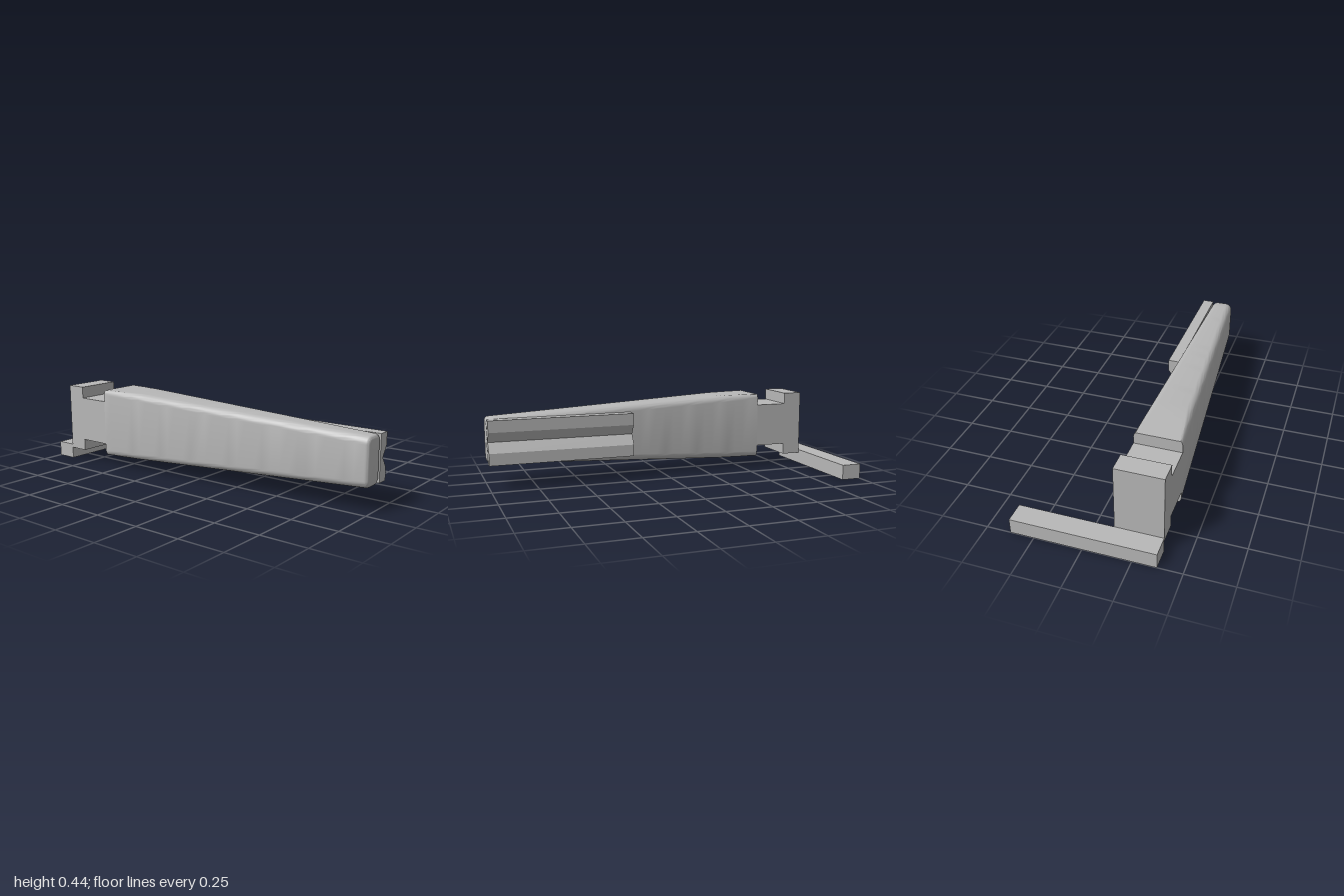
import * as THREE from 'three';
import { toCreasedNormals } from 'three/addons/utils/BufferGeometryUtils.js';

const CENTER_Y = 0.2515, HALF_H = 0.1875, BACK_Z = 0.125;
const CORNER = 0.038, END = 0.02, ARC = 8;

// One rounded-rectangle section of the handle, trimmed flat at top and bottom
function section(x, inset) {
  const t = (x + 0.6) / 1.58;
  const halfH = THREE.MathUtils.lerp(0.199, 0.126, t) - inset;
  const depth = THREE.MathUtils.lerp(0.249, 0.125, t);
  const halfD = depth / 2 - inset, r = CORNER - inset;
  const ring = [];
  for (let q = 0; q < 4; q++) {
    const sy = q === 0 || q === 3 ? 1 : -1, sz = q < 2 ? 1 : -1;
    for (let k = 0; k <= ARC; k++) {
      const a = (q + k / ARC) * Math.PI / 2;
      const y = sy * (halfH - r) + r * Math.cos(a);
      const z = sz * (halfD - r) + r * Math.sin(a);
      ring.push([x, CENTER_Y + THREE.MathUtils.clamp(y, -HALF_H, HALF_H), BACK_Z + depth / 2 + z]);
    }
  }
  return ring;
}

// Tapered handle skinned over its sections, with a rounded tip
function handleGeometry() {
  const rings = [];
  for (let i = 0; i <= 32; i++) rings.push(section(-0.6 + 1.58 * i / 32, 0));
  for (let i = 1; i <= 5; i++) {
    const a = i / 5 * Math.PI / 2;
    const ring = section(0.98, END * (1 - Math.cos(a)));
    ring.forEach(p => { p[0] += END * Math.sin(a); });
    rings.push(ring);
  }
  const n = rings[0].length, last = rings.length - 1;
  const positions = rings.flat(2), index = [];
  for (let i = 0; i < last; i++) {
    for (let j = 0; j < n; j++) {
      const k = (j + 1) % n, a = i * n, b = a + n;
      index.push(a + j, a + k, b + j, a + k, b + k, b + j);
    }
  }
  // End caps
  const c = rings.length * n;
  positions.push(-0.6, CENTER_Y, 0.25, 1, CENTER_Y, 0.1875);
  for (let j = 0; j < n; j++) {
    const k = (j + 1) % n;
    index.push(c, k, j, c + 1, last * n + j, last * n + k);
  }
  const g = new THREE.BufferGeometry();
  g.setAttribute('position', new THREE.Float32BufferAttribute(positions, 3));
  g.setIndex(index);
  return toCreasedNormals(g, 0.6);
}

// V-grooved rail profile, run along x
function railGeometry() {
  const profile = [[0.125, 0.13], [0.063, 0.13], [0.063, 0.195], [0.099, 0.251], [0.063, 0.307], [0.063, 0.372], [0.125, 0.372]];
  const shape = new THREE.Shape(profile.map(([z, y]) => new THREE.Vector2(-z, y)));
  return new THREE.ExtrudeGeometry(shape, { depth: 0.8, bevelEnabled: false })
    .rotateY(Math.PI / 2).translate(0.2, 0, 0);
}

// Box given by its limits on each axis
function block(x0, x1, y0, y1, z0, z1) {
  return new THREE.BoxGeometry(x1 - x0, y1 - y0, z1 - z0)
    .translate((x0 + x1) / 2, (y0 + y1) / 2, (z0 + z1) / 2);
}

export function createModel() {
  const group = new THREE.Group();
  group.name = 'latchHandle';
  const grey = new THREE.MeshStandardMaterial({ color: 0xb8b8b8 });
  grey.name = 'plainGrey';
  const parts = {
    handle: handleGeometry(),
    groovedRail: railGeometry(),
    neck: block(-0.78, -0.6, 0.128, 0.375, 0.125, 0.374),
    head: block(-0.888, -0.78, 0.064, 0.439, 0.125, 0.374),
    footBar: block(-1, -0.888, 0, 0.083, -0.374, 0.374),
  };
  for (const [name, geometry] of Object.entries(parts)) {
    const mesh = new THREE.Mesh(geometry, grey);
    mesh.name = name;
    group.add(mesh);
  }
  return group;
}
